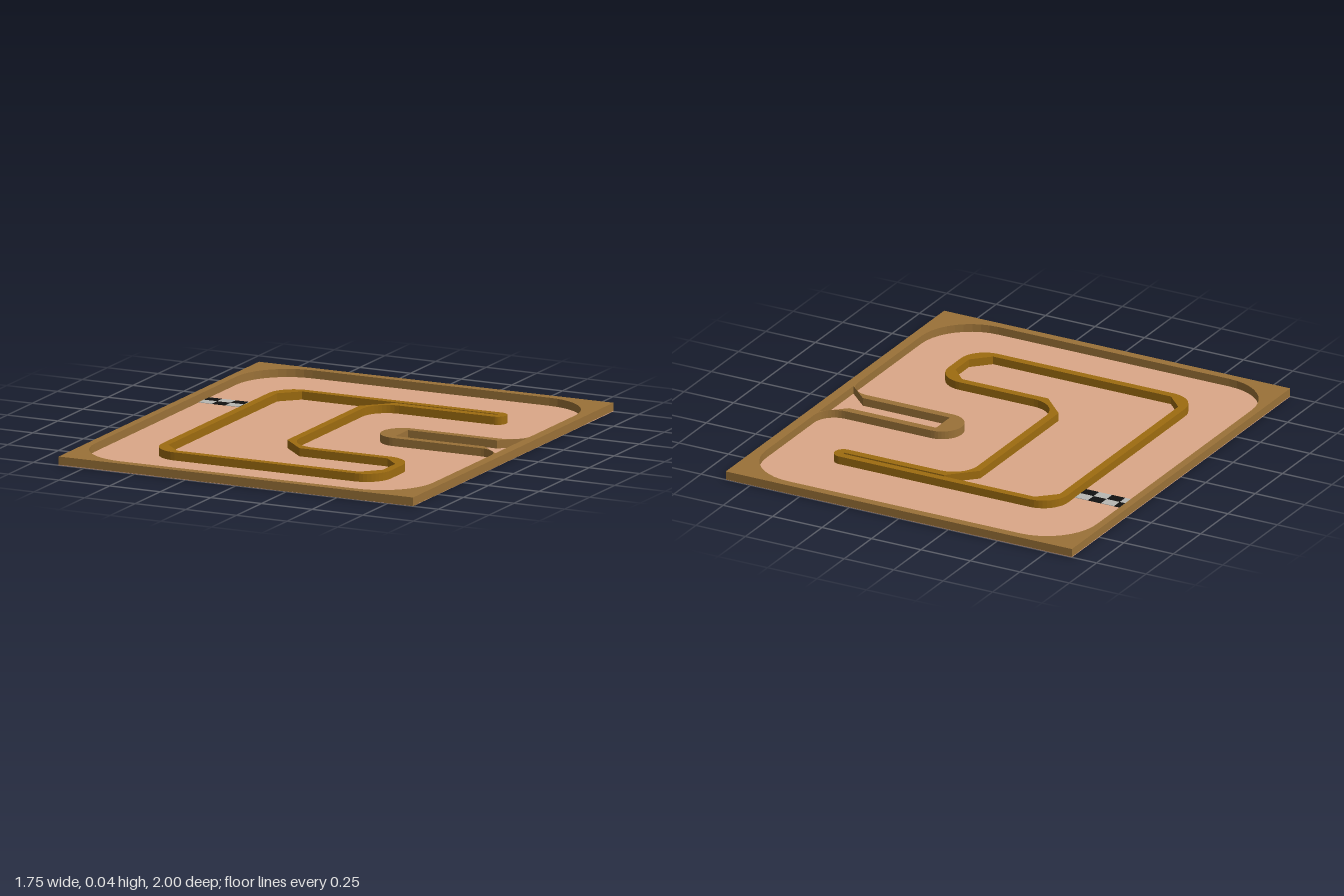
import * as THREE from 'three';

const WALL_TOP = 0.04;
const FLOOR_TOP = 0.003;

// Traces [x, z, radius] corners; a radius rounds that corner off
function trace(path, corners) {
  const n = corners.length;
  const k = 0.4477;
  const toward = (a, b, d) => {
    const len = Math.hypot(b[0] - a[0], b[1] - a[1]);
    return [a[0] + (b[0] - a[0]) * d / len, a[1] + (b[1] - a[1]) * d / len];
  };
  corners.forEach((c, i) => {
    const prev = corners[(i + n - 1) % n];
    const next = corners[(i + 1) % n];
    const r = c[2] || 0;
    const start = toward(c, prev, r);
    if (i === 0) path.moveTo(...start);
    else path.lineTo(...start);
    if (r) path.bezierCurveTo(...toward(c, prev, r * k), ...toward(c, next, r * k), ...toward(c, next, r));
  });
  path.closePath();
  return path;
}

// Extrudes a plan outline (x, z) upward between two heights
function wall(name, color, outline, holes) {
  const shape = trace(new THREE.Shape(), outline);
  holes.forEach((h) => shape.holes.push(trace(new THREE.Path(), h)));
  const geo = new THREE.ExtrudeGeometry(shape, { depth: WALL_TOP - 0.001, bevelEnabled: false, curveSegments: 10 });
  geo.rotateX(Math.PI / 2).translate(0, WALL_TOP, 0);
  return part(name, geo, color);
}

function part(name, geo, color) {
  const mesh = new THREE.Mesh(geo, new THREE.MeshStandardMaterial({ color }));
  mesh.name = name;
  return mesh;
}

export function createModel() {
  const model = new THREE.Group();
  model.name = 'raceTrack';

  // Track floor
  const floor = new THREE.BoxGeometry(1.75, FLOOR_TOP, 2).translate(0, FLOOR_TOP / 2, 0);
  model.add(part('floor', floor, 0xdca888));

  // Outer border with the hollow peninsula jutting in from its left side
  model.add(wall('outerWall', 0x9b7238,
    [[-0.875, -1], [0.875, -1], [0.875, 1], [-0.875, 1]],
    [
      [[-0.84, -0.96, 0.25], [0.83, -0.96, 0.25], [0.83, -0.17, 0.1], [0.195, -0.17, 0.1],
        [0.195, 0.03, 0.1], [0.83, 0.03, 0.1], [0.83, 0.96, 0.25], [-0.84, 0.96, 0.25]],
      [[0.29, -0.133], [0.73, -0.133], [0.83, -0.228], [0.83, 0.088], [0.73, -0.007], [0.29, -0.007]],
    ]));

  // Inner wall: rounded outside, chamfered inside
  model.add(wall('innerWall', 0x9e6c10,
    [[-0.575, -0.615, 0.125], [0.558, -0.615, 0.042], [0.558, -0.53, 0.042], [-0.072, -0.53, 0.12],
      [-0.072, 0.35, 0.135], [0.56, 0.35, 0.12], [0.56, 0.703, 0.12], [-0.575, 0.703, 0.125]],
    [
      [[-0.538, -0.5], [-0.455, -0.58], [0.515, -0.58], [0.515, -0.568], [0.01, -0.568], [-0.108, -0.45],
        [-0.108, 0.268], [0.01, 0.386], [0.445, 0.386], [0.522, 0.465], [0.522, 0.588], [0.445, 0.667],
        [-0.455, 0.667], [-0.538, 0.585]],
    ]));

  // Chequered start line
  const startLine = new THREE.Group();
  startLine.name = 'startLine';
  const w = 0.066, d = 0.051;
  for (let row = 0; row < 2; row++) {
    for (let col = 0; col < 4; col++) {
      const tile = new THREE.BoxGeometry(w, 0.002, d)
        .translate(-0.84 + w * (col + 0.5), FLOOR_TOP + 0.001, -0.43 + d * (row + 0.5));
      startLine.add(part('startTile', tile, (row + col) % 2 ? 0xb8b8b4 : 0x111111));
    }
  }
  model.add(startLine);
  return model;
}
